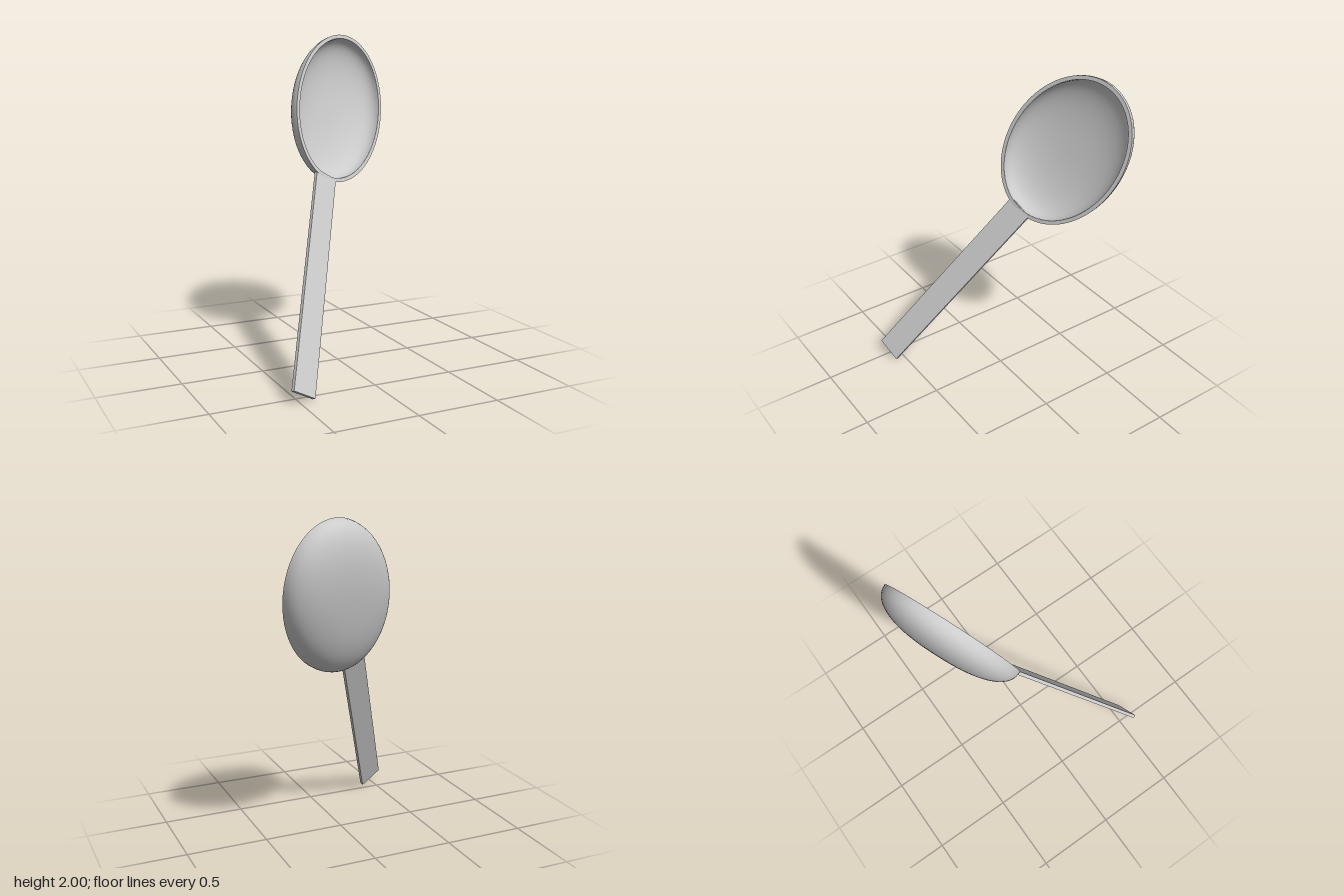
import * as THREE from 'three';

// Places an object with local y along `up` and local z along `front`
function orient(object, position, up, front) {
  const y = new THREE.Vector3(...up).normalize();
  const x = y.clone().cross(new THREE.Vector3(...front)).normalize();
  const z = x.clone().cross(y);
  object.setRotationFromMatrix(new THREE.Matrix4().makeBasis(x, y, z));
  object.position.set(...position);
}

// Rounded, flat-bottomed bowl curve from the centre out to the rim
function bowlCurve(radius, depth, power) {
  const points = [];
  for (let i = 0; i <= 20; i++) {
    const a = (i / 20) * Math.PI / 2;
    points.push(new THREE.Vector2(
      radius * Math.sin(a) ** (2 / power),
      -depth * Math.cos(a) ** (2 / power),
    ));
  }
  points[0].x = 0;
  points[20].y = 0;
  return points;
}

export function createModel() {
  const group = new THREE.Group();
  const material = new THREE.MeshStandardMaterial({ color: 0xcccccc });

  // Oval bowl: outer shell, flat rim and inner shell, opening towards local z
  const bowl = new THREE.Group();
  bowl.name = 'bowl';
  const halfWidth = 0.37, halfLength = 0.5, wall = 0.024;
  const addShell = (name, points, a, b) => {
    const geometry = new THREE.LatheGeometry(points, 64);
    geometry.rotateX(Math.PI / 2);
    geometry.scale(a, b, 1);
    const mesh = new THREE.Mesh(geometry, material);
    mesh.name = name;
    bowl.add(mesh);
  };
  addShell('bowlOutside', bowlCurve(1, 0.175, 2.4), halfWidth, halfLength);
  addShell('bowlInside', bowlCurve(1, 0.152, 2.4).reverse(), halfWidth - wall, halfLength - wall);

  const rimShape = new THREE.Shape().absellipse(0, 0, halfWidth, halfLength, 0, Math.PI * 2);
  rimShape.holes.push(new THREE.Path().absellipse(0, 0, halfWidth - wall, halfLength - wall, 0, Math.PI * 2));
  const rim = new THREE.Mesh(new THREE.ShapeGeometry(rimShape, 64), material);
  rim.name = 'rim';
  bowl.add(rim);
  orient(bowl, [0.178, 1.545, -0.32], [0.405, 0.833, -0.379], [0.36, 0.24, 0.9]);
  group.add(bowl);

  // Flat straight handle, running up into the bowl wall
  const length = 1.4;
  const handleGeometry = new THREE.BoxGeometry(0.162, length, 0.022);
  handleGeometry.translate(0, length / 2, 0);
  const handle = new THREE.Mesh(handleGeometry, material);
  handle.name = 'handle';
  orient(handle, [-0.48, 0.043, 0.568], [0.338, 0.786, -0.518], [0.387, 0.386, 0.838]);
  group.add(handle);

  return group;
}
